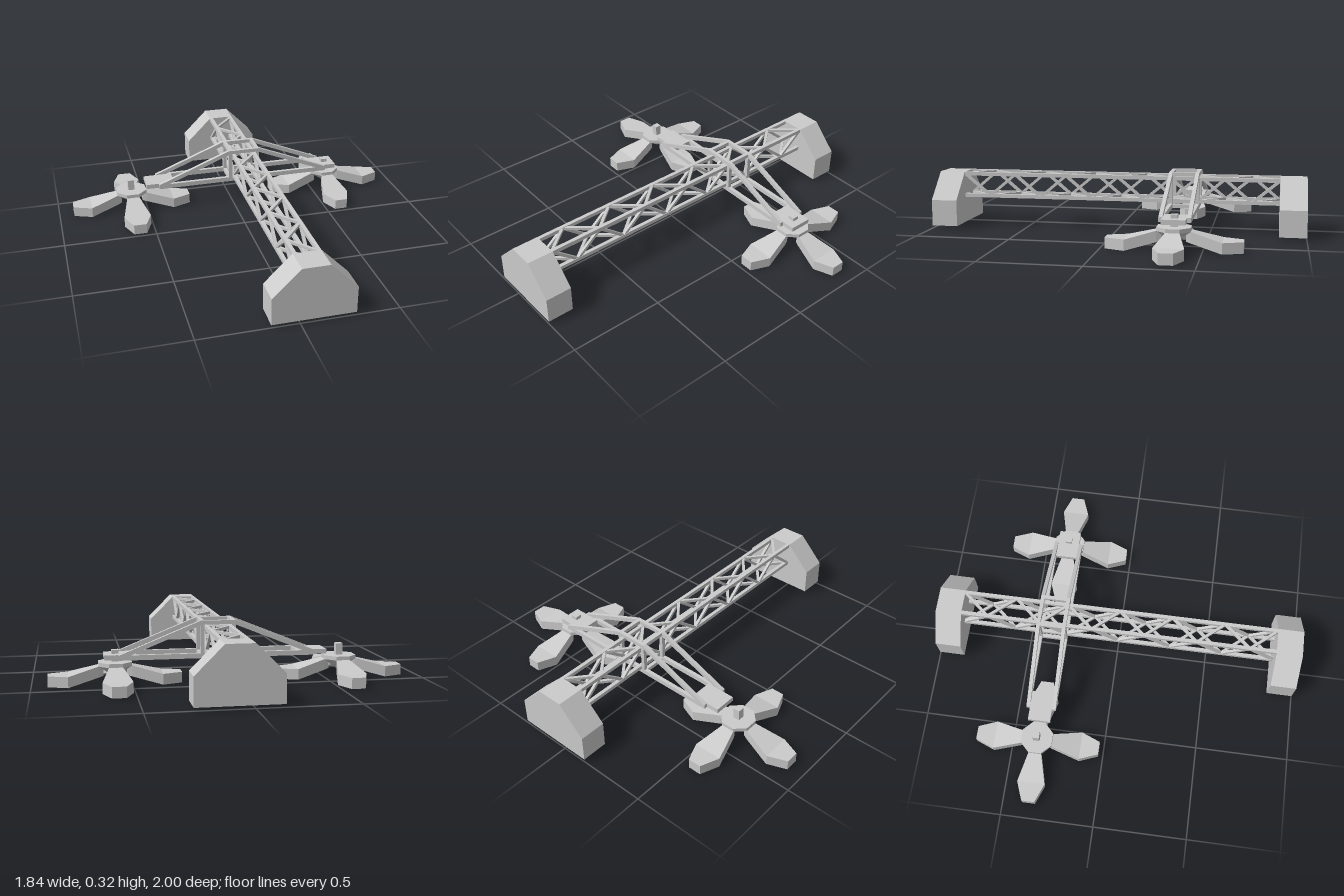
import * as THREE from 'three';

const material = new THREE.MeshStandardMaterial({ color: 0xcccccc, flatShading: true });
const CX = 0.07;        // centre line of truss and cross frame
const FRAME_Z = -0.36;  // cross frame and rotor position along the truss

function add(parent, name, geometry, x = 0, y = 0, z = 0) {
  const mesh = new THREE.Mesh(geometry, material);
  mesh.name = name;
  mesh.position.set(x, y, z);
  parent.add(mesh);
  return mesh;
}

// Box given by its minimum and maximum corners
function box(parent, name, [x0, y0, z0], [x1, y1, z1]) {
  return add(parent, name, new THREE.BoxGeometry(x1 - x0, y1 - y0, z1 - z0),
    (x0 + x1) / 2, (y0 + y1) / 2, (z0 + z1) / 2);
}

// Square bar between two points
function bar(parent, name, a, b, width) {
  const from = new THREE.Vector3(...a), to = new THREE.Vector3(...b);
  const mesh = add(parent, name, new THREE.BoxGeometry(width, width, from.distanceTo(to)));
  mesh.position.copy(from).lerp(to, 0.5);
  mesh.lookAt(to);
  return mesh;
}

const points = list => list.map(([x, y]) => new THREE.Vector2(x, y));
const extrude = (shape, depth) => new THREE.ExtrudeGeometry(shape, { depth, bevelEnabled: false });

// Blade lofted along +x from rectangular sections [radius, half width, bottom, top]
function bladeGeometry() {
  const rings = [
    [0.06, 0.026, 0.046, 0.1],
    [0.083, 0.035, 0.04, 0.096],
    [0.235, 0.074, 0, 0.055],
    [0.335, 0.035, 0, 0.055],
  ].map(([r, w, y0, y1]) => [[r, y0, w], [r, y0, -w], [r, y1, -w], [r, y1, w]]);
  const vertices = [];
  const quad = (a, b, c, d) => vertices.push(...a, ...b, ...c, ...a, ...c, ...d);
  for (let i = 0; i < rings.length - 1; i++) {
    for (let j = 0; j < 4; j++) {
      const k = (j + 1) % 4;
      quad(rings[i][j], rings[i][k], rings[i + 1][k], rings[i + 1][j]);
    }
  }
  quad(...[...rings[0]].reverse());
  quad(...rings[rings.length - 1]);
  const geometry = new THREE.BufferGeometry();
  geometry.setAttribute('position', new THREE.Float32BufferAttribute(vertices, 3));
  geometry.computeVertexNormals();
  return geometry;
}

function createTruss() {
  const truss = new THREE.Group();
  truss.name = 'truss';
  const xs = [0.01, 0.13], ys = [0.165, 0.285], end = 0.86, bays = 12;
  for (const x of xs) for (const y of ys) {
    box(truss, 'chord', [x - 0.01, y - 0.01, -end], [x + 0.01, y + 0.01, end]);
  }
  // Zigzag braces, opposite faces in opposite phase
  for (let i = 0; i < bays; i++) {
    const z0 = -end + (2 * end * i) / bays, z1 = z0 + (2 * end) / bays;
    for (let side = 0; side < 2; side++) {
      const p = (i + side) % 2, q = 1 - p;
      bar(truss, 'sideBrace', [xs[side], ys[p], z0], [xs[side], ys[q], z1], 0.015);
      bar(truss, 'crossBrace', [xs[p], ys[side], z0], [xs[q], ys[side], z1], 0.015);
    }
  }
  return truss;
}

function createCrossFrame() {
  const frame = new THREE.Group();
  frame.name = 'crossFrame';
  // Trapezoid side with three openings, drawn about the centre line
  const shape = new THREE.Shape(points([
    [-0.5, 0.13], [0.5, 0.13], [0.5, 0.155], [0.09, 0.32], [-0.09, 0.32], [-0.5, 0.155],
  ]));
  shape.holes.push(new THREE.Path(points([[-0.07, 0.155], [-0.07, 0.3], [0.07, 0.3], [0.07, 0.155]])));
  for (const s of [-1, 1]) {
    shape.holes.push(new THREE.Path(points([[s * 0.44, 0.155], [s * 0.09, 0.296], [s * 0.09, 0.155]])));
  }
  const sideGeometry = extrude(shape, 0.02);
  for (const z of [-0.08, 0.06]) add(frame, 'frameSide', sideGeometry, 0, 0, z);
  for (const s of [-1, 1]) {
    for (const y of [0.13, 0.3]) {
      box(frame, 'crossBar', [s * 0.08 - 0.01, y, -0.06], [s * 0.08 + 0.01, y + 0.02, 0.06]);
    }
    box(frame, 'endPlate', [s * 0.49 - 0.08, 0.13, -0.06], [s * 0.49 + 0.08, 0.155, 0.06]);
  }
  frame.position.set(CX, 0, FRAME_Z);
  return frame;
}

function createRotor() {
  const rotor = new THREE.Group();
  rotor.name = 'rotor';
  const radius = 0.09;
  add(rotor, 'hubDisc', new THREE.CylinderGeometry(radius, radius, 0.02, 8), 0, 0.105).rotation.y = Math.PI / 8;
  add(rotor, 'hubCone', new THREE.CylinderGeometry(radius, 0.004, 0.06, 8), 0, 0.065).rotation.y = Math.PI / 8;
  box(rotor, 'shaft', [-0.0175, 0.11, -0.0175], [0.0175, 0.174, 0.0175]);
  const blade = bladeGeometry();
  for (let i = 0; i < 4; i++) add(rotor, 'blade', blade).rotation.y = (i * Math.PI) / 2;
  return rotor;
}

export function createModel() {
  const model = new THREE.Group();
  model.name = 'trussCraft';

  // End blocks with sloped shoulders
  const blockShape = new THREE.Shape(points([
    [-0.21, 0.015], [0.21, 0.015], [0.21, 0.155], [0.07, 0.295], [-0.07, 0.295], [-0.21, 0.155],
  ]));
  const block = extrude(blockShape, 0.14);
  for (const z of [-1, 0.86]) add(model, 'endBlock', block, CX, 0, z);

  model.add(createTruss(), createCrossFrame());

  for (const s of [-1, 1]) {
    const rotor = createRotor();
    rotor.position.set(s * 0.584, 0, FRAME_Z);
    model.add(rotor);
  }
  return model;
}
